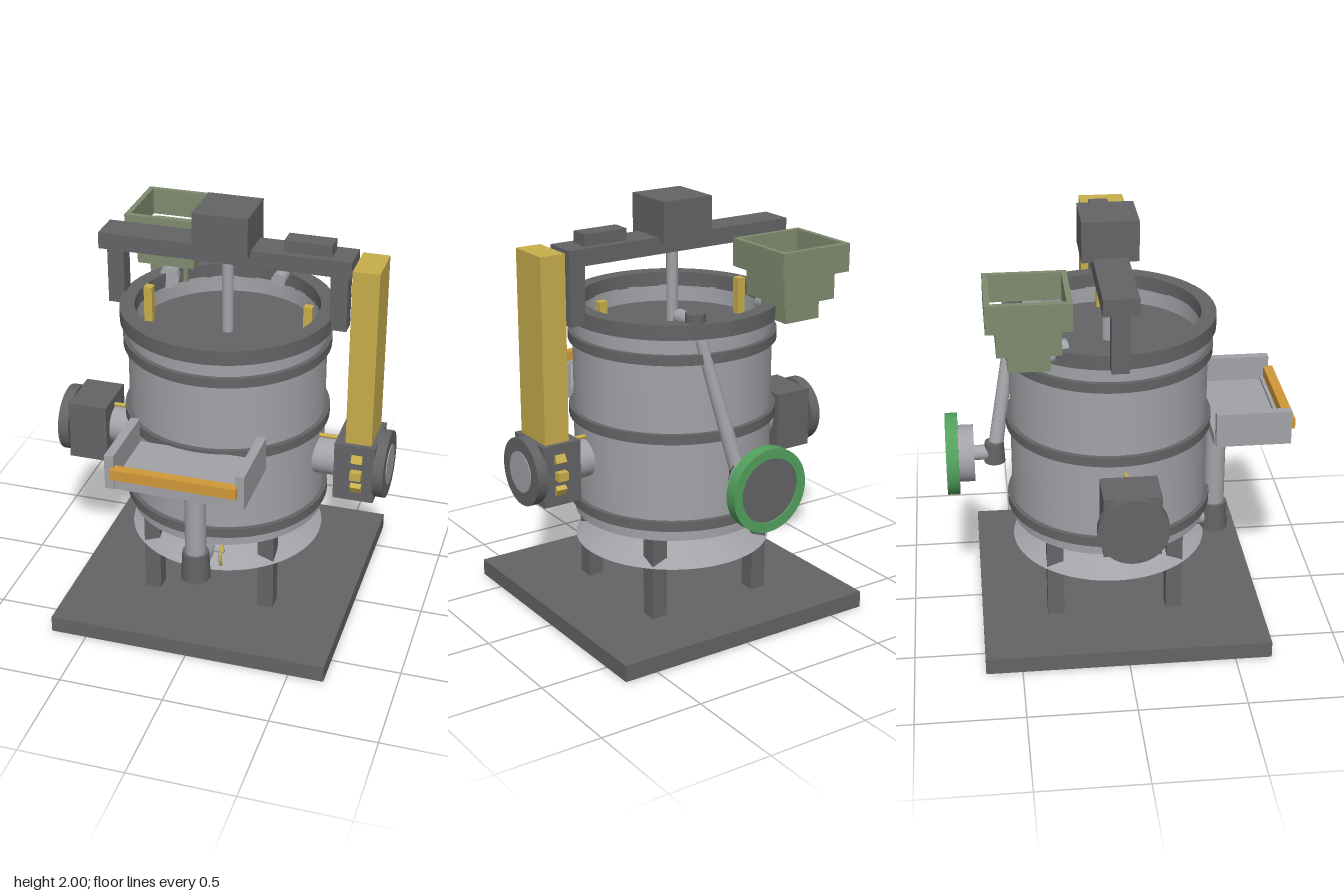
import * as THREE from 'three';
import { toCreasedNormals } from 'three/addons/utils/BufferGeometryUtils.js';

const mat = (name, color) => Object.assign(new THREE.MeshStandardMaterial({ color }), { name });

export function createModel() {
  const dark = mat('dark iron', 0x646467);
  const steel = mat('light steel', 0xa2a3a7);
  const gold = mat('brass yellow', 0xc8ae4c);
  const olive = mat('olive green', 0x808b6f);
  const orange = mat('orange', 0xd0993a);
  const green = mat('valve green', 0x52a05e);

  const model = new THREE.Group();
  model.name = 'mixingTank';
  const CZ = -0.035; // tank axis
  const V = (x, y, z) => new THREE.Vector3(x, y, z);

  const add = (name, geo, material, x = 0, y = 0, z = 0, parent = model) => {
    const m = new THREE.Mesh(geo, material);
    m.name = name;
    m.position.set(x, y, z);
    parent.add(m);
    return m;
  };
  // Box given by its limits on each axis
  const box = (name, material, x0, x1, y0, y1, z0, z1) =>
    add(name, new THREE.BoxGeometry(x1 - x0, y1 - y0, z1 - z0), material,
      (x0 + x1) / 2, (y0 + y1) / 2, (z0 + z1) / 2);
  // Cylinder running from point a to point b
  const rod = (name, material, a, b, ra, rb = ra, sides = 32) => {
    const dir = b.clone().sub(a);
    const m = add(name, new THREE.CylinderGeometry(rb, ra, dir.length(), sides), material);
    m.position.copy(a).add(b).multiplyScalar(0.5);
    m.quaternion.setFromUnitVectors(V(0, 1, 0), dir.normalize());
    return m;
  };
  // Turned solid from [radius, y] pairs
  const lathe = (name, material, pts, sides = 64) =>
    add(name, toCreasedNormals(new THREE.LatheGeometry(
      pts.map(([r, y]) => new THREE.Vector2(r, y)), sides), 0.5), material, 0, 0, CZ);
  const ring = (name, material, r0, r1, y0, y1) =>
    lathe(name, material, [[r0, y0], [r1, y0], [r1, y1], [r0, y1], [r0, y0]]);

  // Base plate and legs
  box('basePlate', dark, -0.67, 0.67, 0.005, 0.085, -0.67, 0.67);
  for (const sx of [-1, 1]) for (const sz of [-1, 1]) {
    const x = sx * 0.284, z = CZ + sz * 0.284;
    box('leg', dark, x - 0.039, x + 0.039, 0, 0.5, z - 0.039, z + 0.039);
  }

  // Tank shell, skirt cone, hoops, rim and contents
  lathe('tankShell', steel, [[0, 0.49], [0.465, 0.49], [0.465, 1.46], [0.43, 1.46], [0.43, 1.36]]);
  lathe('skirtCone', steel, [[0, 0.345], [0.465, 0.345], [0.2, 0.492]]);
  for (const y of [0.567, 0.988, 1.358]) ring('hoop', dark, 0.45, 0.487, y - 0.023, y + 0.023);
  ring('rim', dark, 0.43, 0.5, 1.455, 1.525);
  rod('contents', dark, V(0, 1.35, CZ), V(0, 1.38, CZ), 0.432, 0.432, 64);
  for (const x of [-0.384, 0.384]) box('innerPost', gold, x - 0.02, x + 0.02, 1.37, 1.555, CZ - 0.02, CZ + 0.02);

  // Overhead beam with motor and stirring shaft
  box('beam', dark, -0.597, 0.593, 1.752, 1.83, CZ - 0.08, CZ + 0.08);
  for (const x of [-0.53, 0.53]) box('beamPost', dark, x - 0.04, x + 0.04, 1.47, 1.76, CZ - 0.04, CZ + 0.04);
  box('motor', dark, -0.13, 0.13, 1.81, 2, CZ - 0.13, CZ + 0.13);
  box('controlBox', dark, 0.275, 0.495, 1.825, 1.885, CZ - 0.046, CZ + 0.046);
  rod('shaft', steel, V(0, 1.37, CZ), V(0, 1.8, CZ), 0.027);

  // Side nozzles with housings and flanges
  for (const s of [-1, 1]) {
    rod('nozzle', steel, V(s * 0.4, 0.81, 0), V(s * 0.58, 0.81, 0), 0.09);
    rod('nozzleRod', gold, V(s * 0.42, 0.913, 0), V(s * 0.57, 0.913, 0), 0.01, 0.01, 12);
    const [a, b] = [s * 0.563, s * 0.755].sort((p, q) => p - q);
    box('nozzleHousing', dark, a, b, 0.663, 0.955, -0.13, 0.13);
    rod('flange', dark, V(s * 0.75, 0.81, 0), V(s * 0.802, 0.81, 0), 0.16);
  }
  rod('flangeCap', steel, V(0.79, 0.81, 0), V(0.806, 0.81, 0), 0.096);

  // Ring of bolts round the left housing
  for (let i = 0; i < 12; i++) {
    const a = i * Math.PI / 6;
    const bolt = add('housingBolt', new THREE.BoxGeometry(0.052, 0.04, 0.04), gold,
      0.672, 0.81 + Math.sin(a) * 0.145, Math.cos(a) * 0.145);
    bolt.rotation.x = -a;
  }

  // Tall column
  box('column', gold, 0.61, 0.733, 0.95, 1.82, -0.108, 0.108);

  // Front tray
  box('trayFloor', steel, -0.29, 0.29, 0.943, 0.995, 0.43, 0.77);
  for (const s of [-1, 1]) box('traySide', steel, s * 0.298 - 0.021, s * 0.298 + 0.021, 0.95, 1.115, 0.435, 0.785);
  box('trayLip', orange, -0.287, 0.287, 1.01, 1.06, 0.762, 0.808);
  box('trayFront', steel, -0.28, 0.28, 0.945, 1.01, 0.745, 0.775);

  // Drain: downpipe, elbow, sloping pipe and hand wheel
  rod('downpipe', steel, V(0, 0.45, 0.485), V(0, 0.945, 0.485), 0.05);
  rod('drainElbow', dark, V(0, 0.338, 0.485), V(0, 0.48, 0.485), 0.07, 0.063, 16);
  rod('drainPipe', steel, V(0, 0.405, 0.46), V(0, 0.342, -0.025), 0.046);
  const wheel = add('drainWheel', new THREE.TorusGeometry(0.07, 0.008, 10, 32), gold, 0.095, 0.397, 0.335);
  wheel.rotation.y = Math.PI / 2;
  rod('drainWheelStem', steel, V(0, 0.392, 0.335), V(0.095, 0.397, 0.335), 0.01, 0.01, 10);

  // Stepped hopper from open square frames
  const frame = (half, wall, y0, y1) => {
    const square = (C, h) => new C([[-h, -h], [h, -h], [h, h], [-h, h]].map(p => new THREE.Vector2(...p)));
    const shape = square(THREE.Shape, half);
    shape.holes.push(square(THREE.Path, half - wall));
    const g = new THREE.ExtrudeGeometry(shape, { depth: y1 - y0, bevelEnabled: false });
    g.rotateX(-Math.PI / 2);
    add('hopperTier', g, olive, -0.385, y0, -0.425);
  };
  frame(0.187, 0.025, 1.68, 1.81);
  frame(0.142, 0.025, 1.55, 1.68);
  frame(0.094, 0.025, 1.455, 1.55);
  rod('hopperChute', steel, V(-0.39, 1.49, -0.41), V(-0.36, 1.5, -0.25), 0.05, 0.05, 16);

  // Back feed pipe with elbows
  rod('upperInlet', steel, V(0.16, 1.52, -0.455), V(0.16, 1.52, -0.33), 0.034);
  rod('upperElbow', dark, V(0.16, 1.515, -0.455), V(0.16, 1.565, -0.455), 0.046);
  rod('feedPipe', steel, V(0.16, 1.53, -0.455), V(0, 0.8, -0.58), 0.026, 0.036);
  rod('lowerElbow', dark, V(0, 0.762, -0.58), V(0, 0.865, -0.58), 0.05, 0.045);

  // Back valve with green ring
  rod('valveNeck', steel, V(0, 0.81, -0.58), V(0, 0.81, -0.69), 0.036);
  rod('valveBody', steel, V(0, 0.81, -0.677), V(0, 0.81, -0.76), 0.136);
  const rim = ring('valveRing', green, 0.15, 0.195, -0.029, 0.029);
  rim.rotation.x = Math.PI / 2;
  rim.position.set(0, 0.81, -0.78);
  rod('valveFace', dark, V(0, 0.81, -0.753), V(0, 0.81, -0.8), 0.152);

  return model;
}
